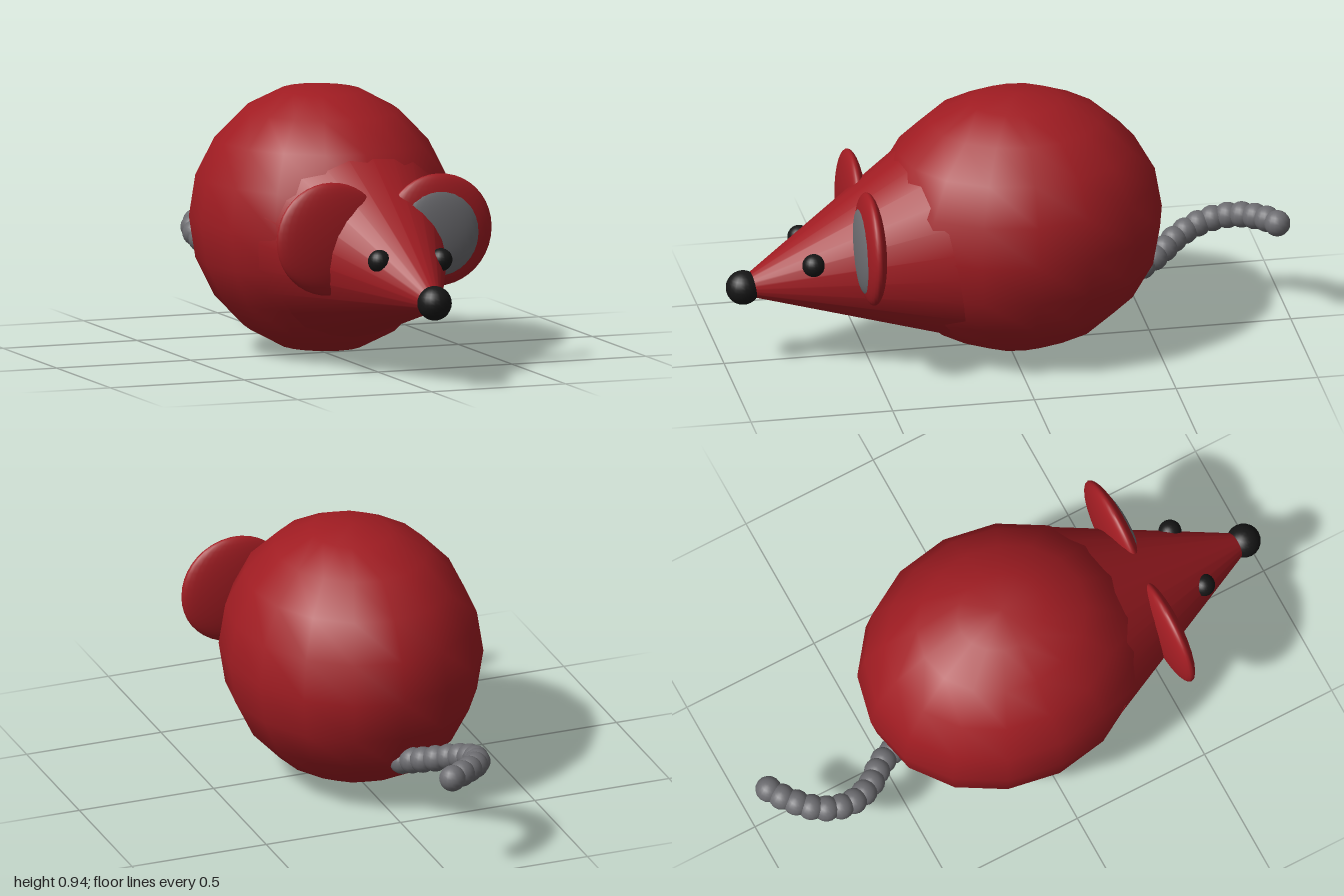
import * as THREE from 'three';

export function createModel() {
  const model = new THREE.Group();
  model.name = 'mouse';

  const red = new THREE.MeshStandardMaterial({ color: 0xa01c22 });
  const grey = new THREE.MeshStandardMaterial({ color: 0x6c6c70 });
  const black = new THREE.MeshStandardMaterial({ color: 0x161616 });

  // Adds an ellipsoid with the given centre and radii
  function ellipsoid(name, material, center, radii, w = 20, h = 14, parent = model) {
    const mesh = new THREE.Mesh(new THREE.SphereGeometry(1, w, h), material);
    mesh.name = name;
    mesh.position.set(...center);
    mesh.scale.set(...radii);
    parent.add(mesh);
    return mesh;
  }

  // Plump body with few sides
  ellipsoid('body', red, [0, 0.475, -0.03], [0.45, 0.47, 0.515], 16, 10);

  // Pointed head: a tilted cone that sinks into the body, cut off behind the nose
  const apex = new THREE.Vector3(0.035, 0.293, 1.0);
  const back = new THREE.Vector3(-0.022, 0.118, -0.643).normalize();
  const start = 0.06, end = 0.76, slope = 0.478;
  const head = new THREE.Mesh(
    new THREE.CylinderGeometry(start * slope, end * slope, end - start, 24),
    red
  );
  head.name = 'head';
  head.position.copy(apex).addScaledVector(back, (start + end) / 2);
  head.quaternion.setFromUnitVectors(new THREE.Vector3(0, -1, 0), back);
  model.add(head);

  // Nose and eyes
  ellipsoid('nose', black, [0.035, 0.305, 0.94], [0.06, 0.06, 0.06]);
  ellipsoid('rightEye', black, [-0.083, 0.428, 0.72], [0.04, 0.04, 0.04]);
  ellipsoid('leftEye', black, [0.15, 0.42, 0.712], [0.04, 0.04, 0.04]);

  // Flat round ears; the left one shows its inner lining
  ellipsoid('rightEar', red, [-0.185, 0.483, 0.516], [0.2, 0.198, 0.045], 32, 20);
  ellipsoid('leftEar', red, [0.214, 0.496, 0.525], [0.2, 0.197, 0.046], 32, 20);
  ellipsoid('leftEarLining', grey, [0.21, 0.49, 0.54], [0.16, 0.16, 0.04], 32, 20);

  // Tail: a string of overlapping balls along a curve
  const tail = new THREE.Group();
  tail.name = 'tail';
  const path = new THREE.CatmullRomCurve3([
    [-0.03, 0.21, -0.44],
    [-0.075, 0.25, -0.54],
    [-0.15, 0.29, -0.635],
    [-0.18, 0.322, -0.73],
    [-0.155, 0.348, -0.83],
    [-0.07, 0.364, -0.92],
    [-0.015, 0.366, -0.955],
  ].map((p) => new THREE.Vector3(...p)));
  const balls = 13;
  path.getSpacedPoints(balls - 1).forEach((p, i) => {
    ellipsoid(`tailBall${i + 1}`, grey, p.toArray(), [0.046, 0.046, 0.046], 16, 12, tail);
  });
  model.add(tail);

  return model;
}
